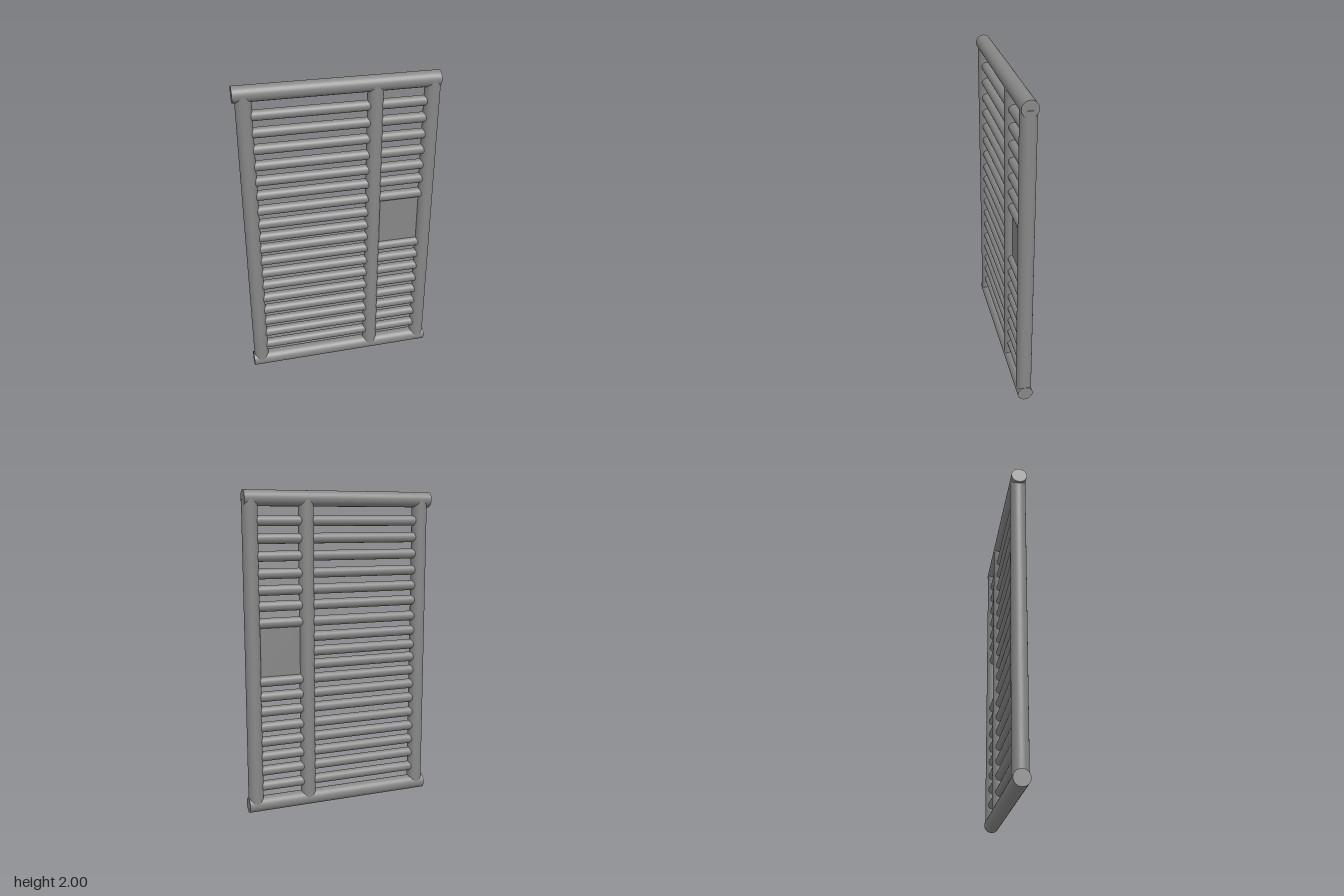
import * as THREE from 'three';

const material = new THREE.MeshStandardMaterial({ color: 0x878787 });

// Round bar between two points in the z = 0 plane
function bar(name, radius, x0, y0, x1, y1) {
  const length = Math.hypot(x1 - x0, y1 - y0);
  const mesh = new THREE.Mesh(new THREE.CylinderGeometry(radius, radius, length, 40), material);
  mesh.name = name;
  mesh.position.set((x0 + x1) / 2, (y0 + y1) / 2, 0);
  mesh.rotation.z = Math.atan2(y1 - y0, x1 - x0) - Math.PI / 2;
  return mesh;
}

export function createModel() {
  const group = new THREE.Group();
  group.name = 'barredPanel';

  // Top and bottom rails
  const railR = 0.048;
  group.add(bar('topRail', railR, -0.617, 2 - railR, 0.605, 2 - railR));
  group.add(bar('bottomRail', railR, -0.608, railR, 0.614, railR));

  // Upright posts
  const left = -0.554, middle = 0.216, right = 0.565;
  const posts = { outerPostRight: left, middlePost: middle, outerPostLeft: right };
  for (const [name, x] of Object.entries(posts)) {
    group.add(bar(name, 0.048, x, 0.06, x, 1.945));
  }

  // Horizontal rungs; the narrow bay skips those where the plate sits
  const rungY = [0.165, 0.265, 0.36, 0.455, 0.55, 0.65, 0.745, 0.84, 0.93,
    1.015, 1.108, 1.205, 1.308, 1.405, 1.505, 1.61, 1.715, 1.82];
  const rungs = new THREE.Group();
  rungs.name = 'rungs';
  for (const y of rungY) {
    rungs.add(bar('wideRung', 0.032, left, y, middle, y));
    if (y < 0.9 || y > 1.15) rungs.add(bar('narrowRung', 0.032, middle, y, right, y));
  }
  group.add(rungs);

  // Flat plate in the narrow bay
  const plate = new THREE.Mesh(new THREE.BoxGeometry(right - middle - 0.09, 0.34, 0.012), material);
  plate.name = 'plate';
  plate.position.set((middle + right) / 2, 1.022, 0);
  group.add(plate);

  return group;
}
